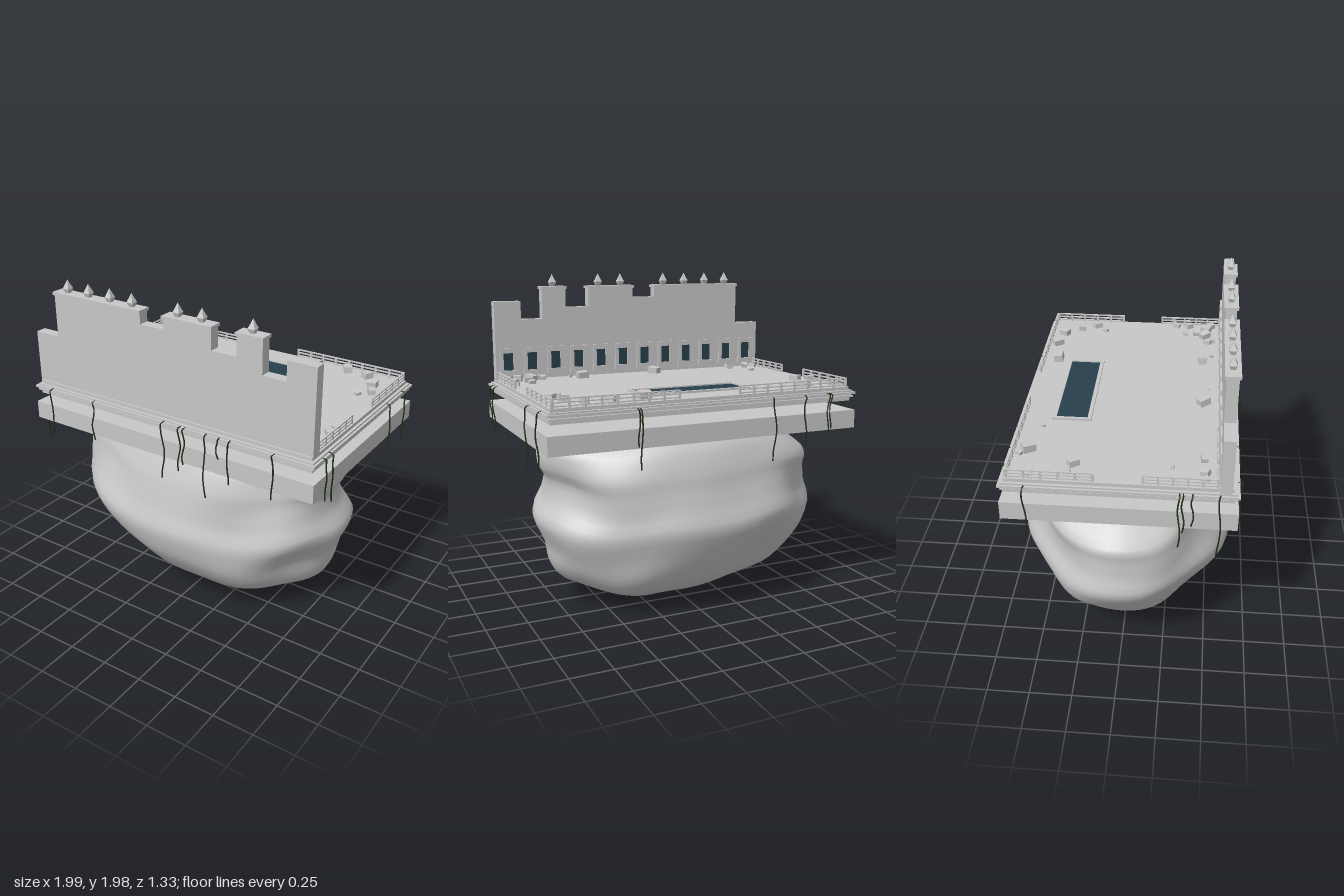
import * as THREE from 'three';

const mat = (name, color) => Object.assign(new THREE.MeshStandardMaterial({ color }), { name });
const stone = mat('stone grey', 0xc7c7c7);
const glass = mat('deep blue glass', 0x283f4c);
const leaf = mat('dark vine green', 0x20331a);

// Box given by its x, y and z ranges
function box(parent, name, x0, x1, y0, y1, z0, z1, material = stone) {
  const m = new THREE.Mesh(new THREE.BoxGeometry(x1 - x0, y1 - y0, z1 - z0), material);
  m.position.set((x0 + x1) / 2, (y0 + y1) / 2, (z0 + z1) / 2);
  m.name = name;
  parent.add(m);
  return m;
}

function group(parent, name) {
  const g = new THREE.Group();
  g.name = name;
  parent.add(g);
  return g;
}

// Floating boulder: uneven oval rings stacked upwards, with soft lumps
function makeRock() {
  // y, reach to -x, +x, -z, +z
  const levels = [
    [0.005, 0.02, 0.02, 0.02, 0.02], [0.015, 0.22, 0.22, 0.14, 0.14], [0.06, 0.46, 0.46, 0.29, 0.27],
    [0.16, 0.70, 0.71, 0.47, 0.44], [0.26, 0.79, 0.78, 0.55, 0.53], [0.38, 0.89, 0.80, 0.61, 0.61],
    [0.54, 0.995, 0.865, 0.665, 0.655], [0.66, 0.97, 0.80, 0.63, 0.62], [0.78, 0.96, 0.785, 0.60, 0.59],
    [0.87, 0.955, 0.83, 0.585, 0.565], [0.99, 0.78, 0.825, 0.54, 0.52], [1.07, 0.64, 0.72, 0.47, 0.48],
    [1.11, 0.58, 0.66, 0.43, 0.45],
  ];
  // One smooth curve per reach, each sharing the same height
  const curves = [1, 2, 3, 4].map(k => new THREE.CatmullRomCurve3(
    levels.map(l => new THREE.Vector3(l[k], l[0], 0)), false, 'catmullrom', 0.4));
  const around = 64, rows = (levels.length - 1) * 3 + 1, pos = [], idx = [];
  for (let r = 0; r < rows; r++) {
    const [xl, xr, zb, zf] = curves.map(c => c.getPoint(r / (rows - 1)));
    const y = xl.y, mid = Math.sin(Math.PI * r / (rows - 1));
    for (let j = 0; j < around; j++) {
      const a = (j / around) * Math.PI * 2, c = Math.cos(a), s = Math.sin(a);
      const between = Math.sin(2 * a) ** 2;
      const lump = 1 + between * (0.025 * Math.sin(5 * a + 8 * y) + 0.025 * Math.sin(3 * a - 11 * y + 1));
      const drift = mid * between * 0.05 * Math.sin(3 * a + 1);
      pos.push(c * (c > 0 ? xr.x : xl.x) * lump, y + drift, s * (s > 0 ? zf.x : zb.x) * lump);
      if (r < rows - 1) {
        const k = (j + 1) % around, p = r * around, q = p + around;
        idx.push(p + j, q + j, p + k, p + k, q + j, q + k);
      }
    }
  }
  // Bottom point
  pos.push(0, 0, 0);
  for (let j = 0; j < around; j++) idx.push(pos.length / 3 - 1, j, (j + 1) % around);
  const g = new THREE.BufferGeometry();
  g.setAttribute('position', new THREE.Float32BufferAttribute(pos, 3));
  g.setIndex(idx);
  g.computeVertexNormals();
  const m = new THREE.Mesh(g, stone);
  m.name = 'boulder';
  return m;
}

// Ruined facade: twelve bays, whole ones capped with a finial, all with a window inside
function makeWall(parent) {
  const wall = group(parent, 'facade');
  const tops = [1.63, 0, 0, 0, 0, 1.825, 0, 0, 1.77, 0, 1.7, 1.815];
  const w = 1.88 / 12;
  const finial = new THREE.LatheGeometry(
    [[0.018, 0], [0.022, 0.008], [0.03, 0.025], [0.018, 0.045], [0, 0.078]].map(p => new THREE.Vector2(...p)), 4
  ).toNonIndexed();
  finial.computeVertexNormals();
  tops.forEach((top, i) => {
    const x0 = -0.94 + i * w, x1 = x0 + w, cx = (x0 + x1) / 2;
    const left = i === 0 || i === 11 ? 0.015 : 0;
    box(wall, 'wallBay', x0 - left, x1, 1.3, top || 1.887, 0.535, 0.6);
    if (!top) {
      box(wall, 'wallCap', x0 - 0.006, x1 + 0.006, 1.887, 1.905, 0.525, 0.61);
      const f = new THREE.Mesh(finial, stone);
      f.name = 'finial';
      f.position.set(cx, 1.905, 0.567);
      f.rotation.y = Math.PI / 4;
      wall.add(f);
    }
    const win = group(wall, 'window');
    for (const s of [-1, 1]) box(win, 'windowJamb', cx + s * 0.042 - 0.011, cx + s * 0.042 + 0.011, 1.35, 1.52, 0.523, 0.536);
    box(win, 'windowHead', cx - 0.053, cx + 0.053, 1.49, 1.522, 0.523, 0.536);
    box(win, 'windowSill', cx - 0.058, cx + 0.058, 1.345, 1.38, 0.519, 0.536);
    box(win, 'windowPane', cx - 0.032, cx + 0.032, 1.378, 1.492, 0.529, 0.536, glass);
  });
}

// Straight railing between two points on the terrace
function makeRailing(parent, xa, za, xb, zb) {
  const g = group(parent, 'railing');
  const len = Math.hypot(xb - xa, zb - za);
  g.position.set(xa, 1.318, za);
  g.rotation.y = -Math.atan2(zb - za, xb - xa);
  for (const y of [0.008, 0.028, 0.048]) box(g, 'rail', 0, len, y, y + 0.007, -0.006, 0.006);
  const n = Math.round(len / 0.09);
  for (let i = 0; i <= n; i++) {
    const x = (i / n) * (len - 0.012);
    box(g, 'post', x, x + 0.012, 0, 0.052, -0.006, 0.006);
  }
}

// Vine hooked over the ledge at (x, z) and hanging down to yEnd; (nx, nz) points outwards
function makeVine(parent, x, z, nx, nz, yEnd) {
  const pts = [new THREE.Vector3(x - nx * 0.02, 1.288, z - nz * 0.02)];
  for (let i = 0; i <= 6; i++) {
    const y = THREE.MathUtils.lerp(1.287, yEnd, i / 6);
    const sway = 0.008 * Math.sin(i * 1.1 + x * 9 + z * 7), out = 0.01 + 0.006 * Math.sin(i * 1.3 + x * 5);
    pts.push(new THREE.Vector3(x + nx * out + nz * sway, y, z + nz * out + nx * sway));
  }
  const m = new THREE.Mesh(new THREE.TubeGeometry(new THREE.CatmullRomCurve3(pts), 20, 0.0045, 5), leaf);
  m.name = 'vine';
  parent.add(m);
}

export function createModel() {
  const model = new THREE.Group();
  model.name = 'floatingTerrace';
  model.add(makeRock());

  // Foundation slab, open gap, then the stepped terrace
  box(model, 'foundationSlab', -0.97, 0.97, 1.07, 1.18, -0.64, 0.64);
  const terrace = group(model, 'terrace');
  box(terrace, 'terraceBase', -0.945, 0.945, 1.235, 1.3, -0.615, 0.615);
  box(terrace, 'lowerLedge', -0.96, 0.96, 1.258, 1.268, -0.63, 0.63);
  box(terrace, 'upperLedge', -0.97, 0.97, 1.277, 1.29, -0.642, 0.642);
  box(terrace, 'ledgeStep', -0.957, 0.957, 1.29, 1.3, -0.628, 0.628);
  box(terrace, 'terraceFloor', -0.94, 0.94, 1.295, 1.32, -0.61, 0.61);

  // Pool with a raised rim
  const pool = group(model, 'pool');
  box(pool, 'poolWater', -0.333, 0.333, 1.319, 1.324, -0.417, -0.235, glass);
  for (const [a, b] of [[-0.44, -0.417], [-0.235, -0.212]]) box(pool, 'poolRim', -0.353, 0.347, 1.318, 1.332, a, b);
  for (const [a, b] of [[-0.353, -0.333], [0.333, 0.347]]) box(pool, 'poolRim', a, b, 1.318, 1.332, -0.417, -0.235);

  makeWall(model);

  // Railings with an opening in the middle of each side
  for (const s of [-1, 1]) {
    makeRailing(model, s * 0.93, -0.6, s * 0.185, -0.6);
    makeRailing(model, s * 0.927, -0.6, s * 0.927, -0.13);
    makeRailing(model, s * 0.927, 0.125, s * 0.927, 0.53);
  }

  // Fallen stones: x, z, size
  const rubble = group(model, 'rubble');
  [[-0.89, -0.48, 0.045], [-0.67, -0.52, 0.075], [-0.71, -0.565, 0.035], [-0.875, -0.28, 0.05], [-0.785, -0.255, 0.06],
    [-0.43, -0.48, 0.022], [0.365, -0.51, 0.075], [0.575, -0.545, 0.065], [0.72, -0.52, 0.06], [0.805, -0.41, 0.06],
    [0.845, -0.31, 0.055], [0.785, -0.25, 0.035], [-0.775, 0.28, 0.03], [-0.885, 0.455, 0.045], [-0.82, 0.455, 0.05],
    [-0.69, 0.45, 0.05], [-0.11, 0.435, 0.07], [0.055, 0.465, 0.015], [0.405, 0.42, 0.07], [0.475, 0.475, 0.025],
    [0.66, 0.45, 0.045], [0.685, 0.48, 0.045], [0.745, 0.43, 0.065], [0.83, 0.435, 0.065], [0.785, 0.37, 0.05],
    [0.885, 0.32, 0.05], [0.89, 0.235, 0.045], [0.775, 0.3, 0.04], [0.885, 0.465, 0.055],
  ].forEach(([x, z, s], i) => {
    const m = box(rubble, 'fallenStone', -s * 0.5, s * 0.5, 0, s * 0.6, -s * 0.38, s * 0.38);
    m.position.set(x, 1.318 + s * 0.32, z);
    m.rotation.set(0.15 * Math.sin(i * 3), i * 2.1, 0.15 * Math.cos(i * 5));
  });

  // Hanging vines on all four sides
  const vines = group(model, 'vines');
  [[-0.835, 1.0], [-0.505, 1.04], [0.01, 0.94], [0.125, 1.02], [0.155, 1.07], [0.295, 0.9], [0.38, 1.17], [0.45, 1.03], [0.73, 1.02]]
    .forEach(([x, y]) => makeVine(vines, x, 0.642, 0, 1, y));
  [[-0.77, 1.05], [-0.785, 1.08], [-0.61, 0.98], [-0.4, 0.92], [0.44, 0.95], [0.455, 1.08]]
    .forEach(([x, y]) => makeVine(vines, x, -0.642, 0, -1, y));
  [[-0.5, 0.97], [0.325, 0.95], [0.345, 1.05], [0.395, 1.1], [0.54, 0.88]]
    .forEach(([z, y]) => makeVine(vines, -0.975, z, -1, 0, y));
  [[-0.5, 0.97], [-0.285, 0.94], [0.455, 1.0], [0.53, 1.04]]
    .forEach(([z, y]) => makeVine(vines, 0.975, z, 1, 0, y));

  return model;
}
